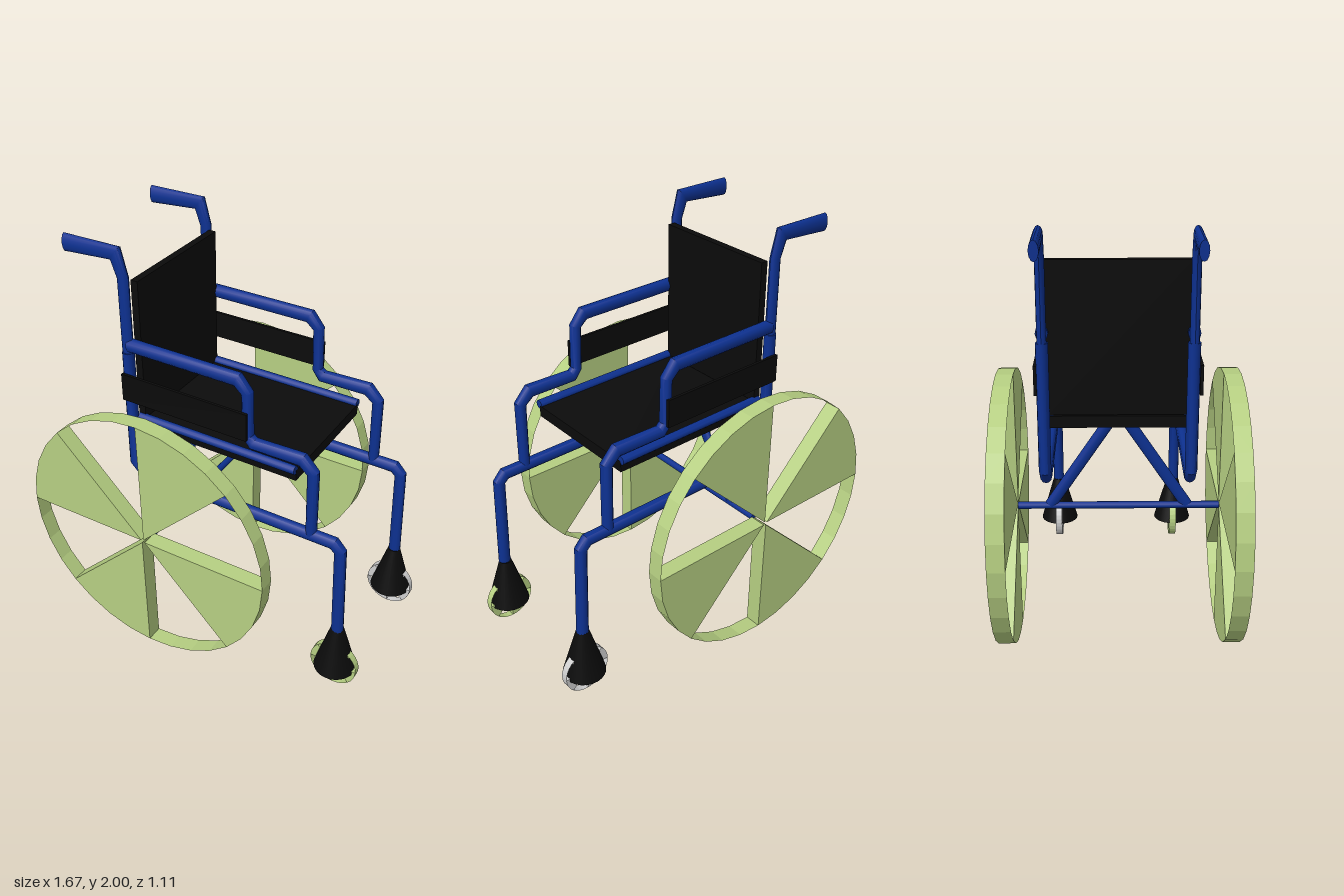
import * as THREE from 'three';
import { toCreasedNormals } from 'three/addons/utils/BufferGeometryUtils.js';

const mat = (name, color, side = THREE.FrontSide) => {
  const m = new THREE.MeshStandardMaterial({ color, side });
  m.name = name;
  return m;
};

// Mitred tube along a path in the xy plane; each point is [x, y, radius], rz is the radius across z
function pathTube(points, rz, sides = 12) {
  const pos = [], index = [];
  const dir = (a, b) => new THREE.Vector2(b[0] - a[0], b[1] - a[1]).normalize();
  const last = points.length - 1;
  points.forEach((p, i) => {
    const d0 = dir(points[Math.max(i - 1, 0)], points[Math.max(i, 1)]);
    const d1 = dir(points[Math.min(i, last - 1)], points[Math.min(i + 1, last)]);
    const t = d0.clone().add(d1).normalize();
    const r = p[2] / t.dot(d0);
    for (let j = 0; j < sides; j++) {
      const a = (j / sides) * Math.PI * 2, c = Math.cos(a) * r;
      pos.push(p[0] - t.y * c, p[1] + t.x * c, Math.sin(a) * rz);
    }
  });
  for (let i = 0; i < last; i++) {
    for (let j = 0; j < sides; j++) {
      const a = i * sides + j, b = i * sides + (j + 1) % sides;
      index.push(a, b, a + sides, b, b + sides, a + sides);
    }
  }
  // End caps
  for (let j = 1; j < sides - 1; j++) {
    const e = last * sides;
    index.push(0, j + 1, j, e, e + j, e + j + 1);
  }
  const g = new THREE.BufferGeometry();
  g.setAttribute('position', new THREE.Float32BufferAttribute(pos, 3));
  g.setIndex(index);
  return toCreasedNormals(g, 0.65);
}

// Wheel with four solid wedges and a thin rim bridging the open quarters
function makeWheel(name, radius, width, wedgeMat, rimMat) {
  const wheel = new THREE.Group();
  wheel.name = name;
  const step = Math.PI / 4;
  for (let k = 0; k < 4; k++) {
    const start = k * 2 * step;
    const shape = new THREE.Shape();
    const mid = start + step * 1.5;
    shape.moveTo(Math.cos(mid) * radius * 0.015, Math.sin(mid) * radius * 0.015);
    for (let s = 0; s <= 4; s++) {
      const a = start + step + (s / 4) * step;
      shape.lineTo(Math.cos(a) * radius, Math.sin(a) * radius);
    }
    shape.closePath();
    const wedgeGeo = new THREE.ExtrudeGeometry(shape, { depth: width, bevelEnabled: false });
    wedgeGeo.translate(0, 0, -width / 2);
    const wedge = new THREE.Mesh(wedgeGeo, wedgeMat);
    wedge.name = 'wheelWedge';

    const rimGeo = new THREE.CylinderGeometry(radius, radius, width, 4, 1, true, start + Math.PI / 2, step);
    rimGeo.rotateX(Math.PI / 2);
    const rim = new THREE.Mesh(toCreasedNormals(rimGeo, 0.1), rimMat);
    rim.name = 'wheelRim';
    wheel.add(wedge, rim);
  }
  return wheel;
}

export function createModel() {
  const group = new THREE.Group();
  group.name = 'wheelchair';
  const blue = mat('frameBlue', 0x0d3191);
  const black = mat('paddingBlack', 0x0b0b0b);
  const green = mat('wheelGreen', 0xb6cf82);
  const greenRim = mat('rimGreen', 0xb6cf82, THREE.DoubleSide);
  const grey = mat('casterGrey', 0xcfcfcf);
  const greyRim = mat('casterRimGrey', 0xcfcfcf, THREE.DoubleSide);

  const add = (name, geo, material, x = 0, y = 0, z = 0) => {
    const m = new THREE.Mesh(geo, material);
    m.name = name;
    m.position.set(x, y, z);
    group.add(m);
    return m;
  };
  const box = (w, h, d) => new THREE.BoxGeometry(w, h, d);

  // Seat and backrest
  add('seat', box(0.825, 0.055, 0.61), black, 0.053, 1.128, -0.003);
  add('backrest', box(0.035, 0.69, 0.62), black, -0.338, 1.505, -0.003);

  // Frame tubes shared by both sides
  const handlePost = pathTube([
    [-0.685, 1.955, 0.043], [-0.415, 1.965, 0.034], [-0.383, 1.86, 0.028], [-0.383, 1.5, 0.028],
  ], 0.021);
  const lowerFrame = pathTube([
    [-0.383, 1.5, 0.028], [-0.383, 0.905, 0.028], [-0.333, 0.855, 0.03], [0.675, 0.855, 0.03],
    [0.708, 0.82, 0.028], [0.722, 0.34, 0.029],
  ], 0.028);
  const armrest = pathTube([
    [-0.375, 1.537, 0.033], [0.185, 1.537, 0.033], [0.232, 1.485, 0.026], [0.238, 1.27, 0.025],
    [0.265, 1.238, 0.03], [0.505, 1.242, 0.033], [0.558, 1.19, 0.027], [0.562, 0.86, 0.025],
  ], 0.028);
  const seatRail = pathTube([[-0.35, 1.16, 0.021], [0.465, 1.16, 0.021]], 0.021);

  for (const s of [1, -1]) {
    const side = s > 0 ? 'Front' : 'Rear';
    const z = s > 0 ? 0.322 : -0.33;
    add('handlePost' + side, handlePost, blue, 0, 0, z);
    add('lowerFrame' + side, lowerFrame, blue, 0, 0, z);
    add('armrest' + side, armrest, blue, 0, 0, z);
    add('seatRail' + side, seatRail, blue, 0, 0, s * 0.308);
    add('sidePanel' + side, box(0.65, 0.135, 0.014), black, -0.075, 1.333, s > 0 ? 0.357 : -0.362);

    // Slanted brace from the axle up to the middle of the seat
    const brace = add('brace' + side, new THREE.CylinderGeometry(0.028, 0.028, 0.53, 12), blue,
      -0.196, 0.865, s * 0.175);
    brace.rotation.x = -s * 0.585;
    brace.scale.x = 0.65;

    // Drive wheel
    const wheel = makeWheel('driveWheel' + side, 0.645, 0.08, green, greenRim);
    wheel.position.set(-0.195, 0.648, s * 0.515);
    group.add(wheel);

    // Caster cone and wheel
    add('casterFork' + side, new THREE.CylinderGeometry(0.03, 0.101, 0.245, 24), black,
      0.72, 0.238, s > 0 ? 0.318 : -0.328);
    const caster = s > 0
      ? makeWheel('casterFront', 0.118, 0.036, green, greenRim)
      : makeWheel('casterRear', 0.118, 0.036, grey, greyRim);
    caster.position.set(0.717, 0.13, s > 0 ? 0.317 : -0.329);
    group.add(caster);
  }

  // Axle
  const axle = new THREE.CylinderGeometry(0.017, 0.017, 0.95, 12);
  axle.rotateX(Math.PI / 2);
  add('axle', axle, blue, -0.196, 0.64, 0);

  return group;
}
